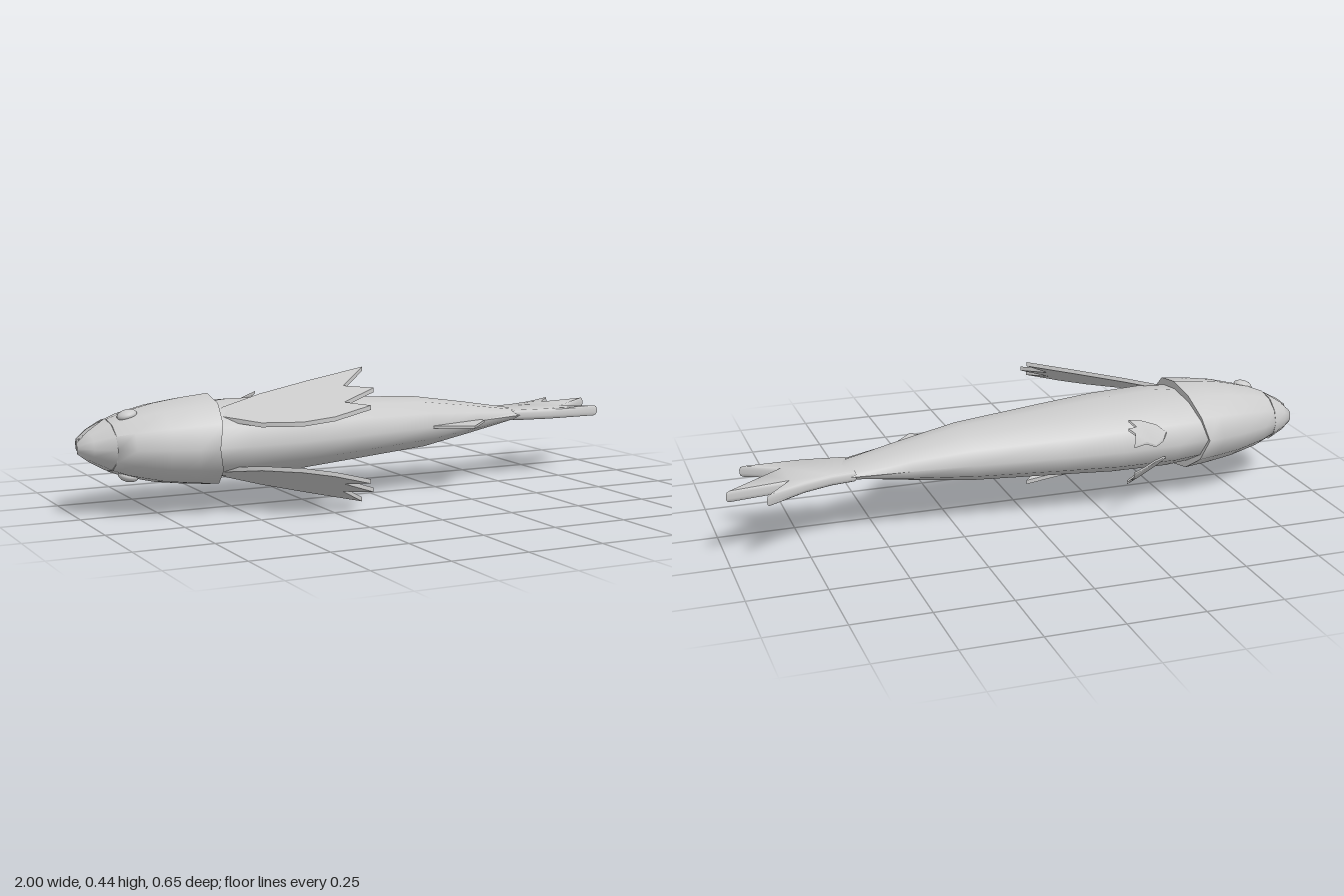
import * as THREE from 'three';
import { toCreasedNormals } from 'three/addons/utils/BufferGeometryUtils.js';

const MID = 0.217; // height of the symmetry plane
const mat = new THREE.MeshStandardMaterial({ color: 0xcccccc, side: THREE.DoubleSide });

function add(group, name, geometry) {
  const mesh = new THREE.Mesh(geometry, mat);
  mesh.name = name;
  group.add(mesh);
  return mesh;
}

// Skin over rings of [x, y, z] points, capped at both ends
function loft(rings) {
  const n = rings[0].length, pos = rings.flat(2), idx = [];
  for (let i = 0; i < rings.length - 1; i++)
    for (let j = 0; j < n; j++) {
      const k = (j + 1) % n, a = i * n, b = a + n;
      idx.push(a + j, b + j, b + k, a + j, b + k, a + k);
    }
  const last = (rings.length - 1) * n;
  for (let j = 1; j < n - 1; j++) {
    idx.push(0, j, j + 1);
    idx.push(last, last + j + 1, last + j);
  }
  const g = new THREE.BufferGeometry();
  g.setAttribute('position', new THREE.Float32BufferAttribute(pos, 3));
  g.setIndex(idx);
  return toCreasedNormals(g, 1.1);
}

// Twelve-sided oval; sweep pushes its sides backward
function oval([x, z0, z1, h], sweep = 0) {
  const c = (z0 + z1) / 2, r = (z1 - z0) / 2;
  return Array.from({ length: 12 }, (_, i) => {
    const a = i * Math.PI / 6;
    return [x + sweep * Math.abs(Math.sin(a)), MID + h * Math.sin(a), c + r * Math.cos(a)];
  });
}

// Half oval with its flat side on the mouth line
function halfOval([x, zMouth, zOuter, h], dir) {
  return Array.from({ length: 7 }, (_, i) => {
    const a = (i / 6 - 0.5) * Math.PI;
    return [x, MID + dir * h * Math.sin(a), zMouth + (zOuter - zMouth) * Math.cos(a)];
  });
}

// Thin plate from an x,z outline, raised by a height rule
function fin(points, thickness, height = () => 0, bevel = 0) {
  const shape = new THREE.Shape(points.map(p => new THREE.Vector2(p[0], p[1])));
  const depth = thickness - bevel * 2;
  const g = new THREE.ExtrudeGeometry(shape, {
    depth, bevelEnabled: bevel > 0, bevelThickness: bevel, bevelSize: bevel * 0.7,
    bevelOffset: -bevel * 0.7, bevelSegments: 2
  });
  g.translate(0, 0, -depth / 2).rotateX(Math.PI / 2);
  const p = g.attributes.position;
  for (let i = 0; i < p.count; i++) p.setY(i, p.getY(i) + MID + height(p.getX(i), p.getZ(i)));
  return toCreasedNormals(g, 0.8);
}

export function createModel() {
  const fish = new THREE.Group();
  fish.name = 'fish';

  // Body
  add(fish, 'body', loft([
    [-0.66, -0.22, 0.18, 0.113], [-0.5, -0.245, 0.197, 0.125], [-0.3, -0.25, 0.182, 0.12],
    [-0.1, -0.238, 0.15, 0.106], [0.2, -0.21, 0.085, 0.087], [0.4, -0.195, 0.03, 0.055],
    [0.61, -0.18, -0.03, 0.018]
  ].map(s => oval(s))));

  // Head with a flared gill cover
  add(fish, 'head', loft([
    oval([-0.9, -0.15, 0.085, 0.082]), oval([-0.85, -0.175, 0.118, 0.102]),
    oval([-0.75, -0.21, 0.165, 0.126]), oval([-0.67, -0.228, 0.187, 0.139], 0.015),
    oval([-0.61, -0.239, 0.198, 0.147], 0.04), oval([-0.61, -0.225, 0.185, 0.118], 0.035)
  ]));

  // Jaws: sections of [x, mouth line z, outer z, half width]
  const jaws = {
    lowerJaw: { dir: -1, s: [[-0.98, -0.09, -0.103, 0.02], [-0.95, -0.077, -0.125, 0.05], [-0.9, -0.052, -0.15, 0.082]] },
    upperJaw: { dir: 1, s: [[-1, -0.018, 0.0, 0.018], [-0.96, -0.034, 0.037, 0.048], [-0.9, -0.052, 0.085, 0.082]] }
  };
  for (const [name, { dir, s }] of Object.entries(jaws)) {
    add(fish, name, loft(s.map(v => halfOval(v, dir))));
    // Teeth along both edges of the jaw
    for (const side of [-1, 1])
      for (let i = 0; i < 5; i++) {
        const t = i / 5, [a, b] = [s[0], s[2]];
        const tooth = add(fish, 'tooth', new THREE.ConeGeometry(0.006, 0.03 - t * 0.014, 6));
        tooth.rotation.x = -dir * Math.PI / 2;
        tooth.position.set(
          THREE.MathUtils.lerp(a[0] + 0.008, b[0], t),
          MID + side * THREE.MathUtils.lerp(0.015, 0.068, t),
          THREE.MathUtils.lerp(a[1], b[1], t) - dir * 0.008);
      }
  }

  // Tail fin
  add(fish, 'tailFin', fin([
    [0.58, -0.178], [0.66, -0.19], [0.75, -0.222], [0.885, -0.295], [0.805, -0.195], [0.997, -0.222],
    [0.86, -0.11], [0.805, -0.07], [0.92, -0.015], [0.72, -0.01], [0.58, -0.032]
  ], 0.036, undefined, 0.012));

  // Small fin on the midline
  add(fish, 'midlineFin', fin([[0.18, 0.07], [0.2, 0.088], [0.32, 0.147], [0.42, 0.04], [0.4, 0.01]], 0.008));

  // Paired fins and eyes, mirrored about the middle plane
  for (const side of [-1, 1]) {
    add(fish, 'pectoralFin', fin([
      [-0.58, 0.08], [-0.55, 0.065], [-0.425, 0.067], [-0.265, 0.09], [-0.09, 0.122], [-0.185, 0.18],
      [-0.11, 0.245], [-0.22, 0.26], [-0.158, 0.322], [-0.275, 0.312], [-0.37, 0.28], [-0.48, 0.21], [-0.575, 0.105]
    ], 0.014, (x, z) => side * (0.09 + 0.287 * (x + 0.58) - 0.39 * (z - 0.08))));

    add(fish, 'pelvicFin', fin([
      [-0.455, -0.228], [-0.43, -0.26], [-0.39, -0.29], [-0.355, -0.295], [-0.3, -0.327], [-0.32, -0.285],
      [-0.297, -0.28], [-0.335, -0.26], [-0.31, -0.25], [-0.36, -0.232], [-0.42, -0.22]
    ], 0.008, (x, z) => side * (0.043 + 0.58 * (x + 0.455) + 0.877 * (z + 0.228))));

    const eye = add(fish, 'eye', new THREE.SphereGeometry(0.032, 20, 12));
    eye.scale.y = 0.55;
    eye.position.set(-0.845, MID + 0.096, 0.005);
    eye.rotation.z = side * 0.25;
    eye.position.y = MID + side * 0.096;
  }
  return fish;
}
